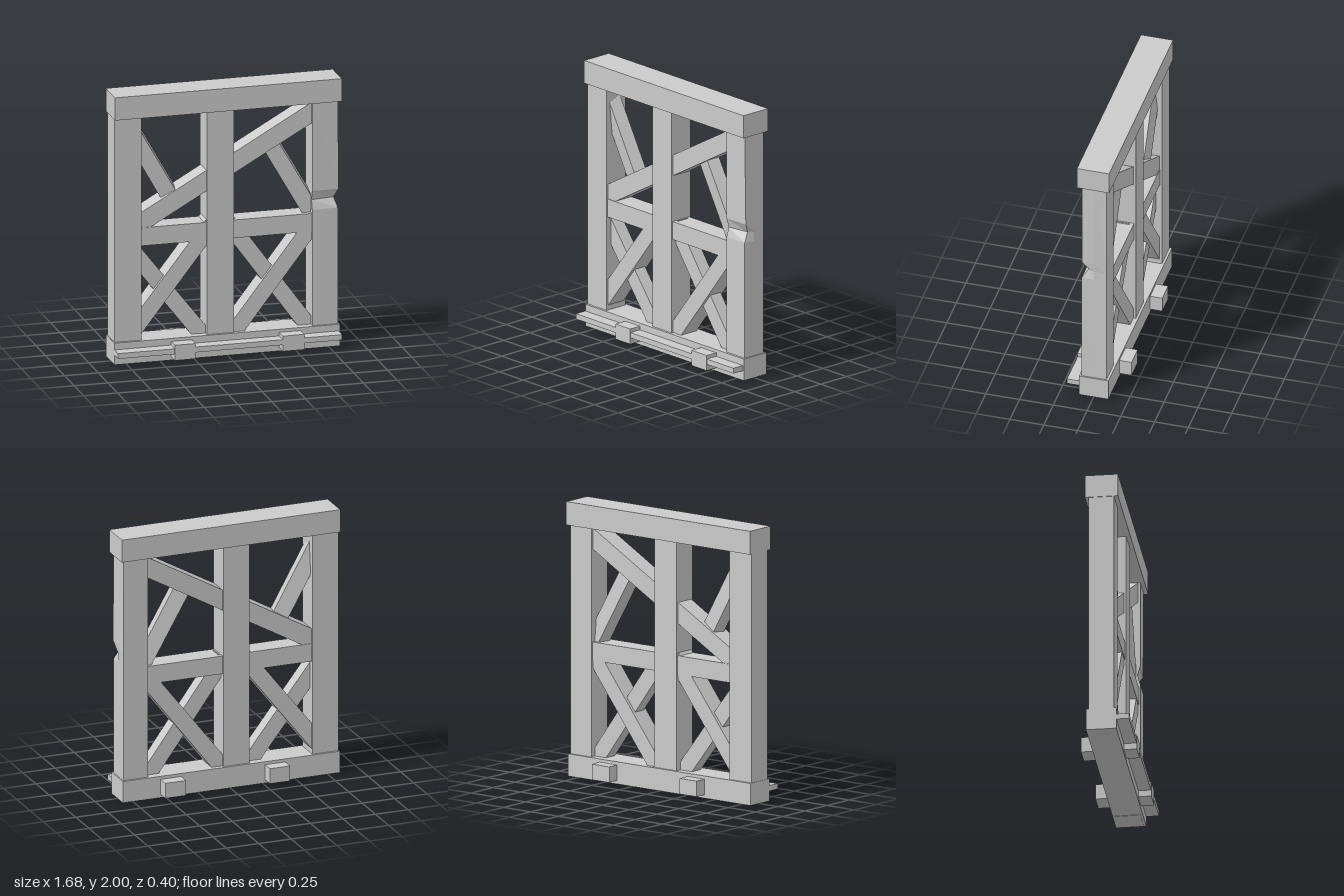
import * as THREE from 'three';

const grey = new THREE.MeshStandardMaterial({ color: 0xcccccc, flatShading: true });

export function createModel() {
  const model = new THREE.Group();
  model.name = 'timberFrame';

  const add = (name, geometry) => {
    const mesh = new THREE.Mesh(geometry, grey);
    mesh.name = name;
    model.add(mesh);
    return mesh;
  };

  // Box given by its limits on each axis
  const block = (name, [x0, x1], [y0, y1], [z0, z1]) =>
    add(name, new THREE.BoxGeometry(x1 - x0, y1 - y0, z1 - z0))
      .position.set((x0 + x1) / 2, (y0 + y1) / 2, (z0 + z1) / 2);

  // Sloping timber between two points, optionally twisted about its length
  const brace = (name, [x0, y0], [x1, y1], width, depth, twist = 0) => {
    const length = Math.hypot(x1 - x0, y1 - y0);
    const mesh = add(name, new THREE.BoxGeometry(length, width, depth).rotateX(twist));
    mesh.position.set((x0 + x1) / 2, (y0 + y1) / 2, 0);
    mesh.rotation.z = Math.atan2(y1 - y0, x1 - x0);
  };

  // Horizontal beams
  block('topBeam', [-0.84, 0.84], [1.83, 2], [-0.118, 0.12]);
  block('bottomBeam', [-0.84, 0.83], [0.003, 0.165], [-0.11, 0.108]);
  block('middleBeam', [-0.7, 0.7], [0.865, 1], [-0.08, 0.08]);

  // Straight posts
  block('rightPost', [-0.835, -0.635], [0.1, 1.86], [-0.093, 0.09]);
  block('centrePost', [-0.15, 0.05], [0.1, 1.86], [-0.093, 0.09]);

  // Notched post: cross-sections of five corners, lofted upwards
  const section = (y, side, frontX, frontZ, innerZ) => [
    [0.63, y, -0.093], [0.82, y, -0.093], [side, y, 0], [frontX, y, frontZ], [0.63, y, innerZ],
  ];
  const rings = [
    section(0, 0.82, 0.82, 0.09, 0.09),
    section(1.03, 0.821, 0.82, 0.09, 0.09),
    section(1.1, 0.822, 0.8, 0.045, 0.07),
    section(1.17, 0.828, 0.826, 0.085, 0.09),
    section(1.86, 0.822, 0.82, 0.09, 0.09),
  ];
  const points = [];
  const corners = 5;
  for (let r = 0; r < rings.length - 1; r++) {
    for (let i = 0; i < corners; i++) {
      const j = (i + 1) % corners;
      const [a, b, c, d] = [rings[r][i], rings[r][j], rings[r + 1][j], rings[r + 1][i]];
      points.push(...a, ...c, ...b, ...a, ...d, ...c);
    }
  }
  const last = rings[rings.length - 1];
  for (let i = 1; i < corners - 1; i++) {
    points.push(...rings[0][0], ...rings[0][i], ...rings[0][i + 1]);
    points.push(...last[0], ...last[i + 1], ...last[i]);
  }
  const notched = new THREE.BufferGeometry();
  notched.setAttribute('position', new THREE.Float32BufferAttribute(points, 3));
  notched.computeVertexNormals();
  add('notchedLeftPost', notched);

  // Crossed braces in the two lower bays
  brace('lowerBrace', [-0.69, 0.23], [-0.1, 1.008 - 0.02], 0.12, 0.15);
  brace('lowerCrossBrace', [-0.68, 0.81], [-0.16, 0.14], 0.12, 0.1);
  brace('lowerBrace', [0.03, 0.13], [0.64, 0.92], 0.12, 0.15);
  brace('lowerCrossBrace', [0.02, 0.97], [0.63, 0.13], 0.12, 0.1);

  // Long upper brace and its short twisted struts
  brace('upperBrace', [-0.7, 0.998], [0.7, 1.79], 0.135, 0.15);
  brace('upperStrut', [-0.72, 1.77], [-0.395, 1.19], 0.12, 0.1, 0.2);
  brace('upperStrut', [0.32, 1.57], [0.66, 0.975], 0.12, 0.1, 0.2);

  // Rail along the foot and the blocks through the bottom beam
  block('footRail', [-0.84, 0.82], [0.075, 0.115], [0.1, 0.2]);
  for (const [x0, x1] of [[-0.42, -0.265], [0.38, 0.54]]) {
    block('footBlock', [x0, x1], [0.028, 0.142], [-0.2, 0.202]);
  }

  return model;
}
